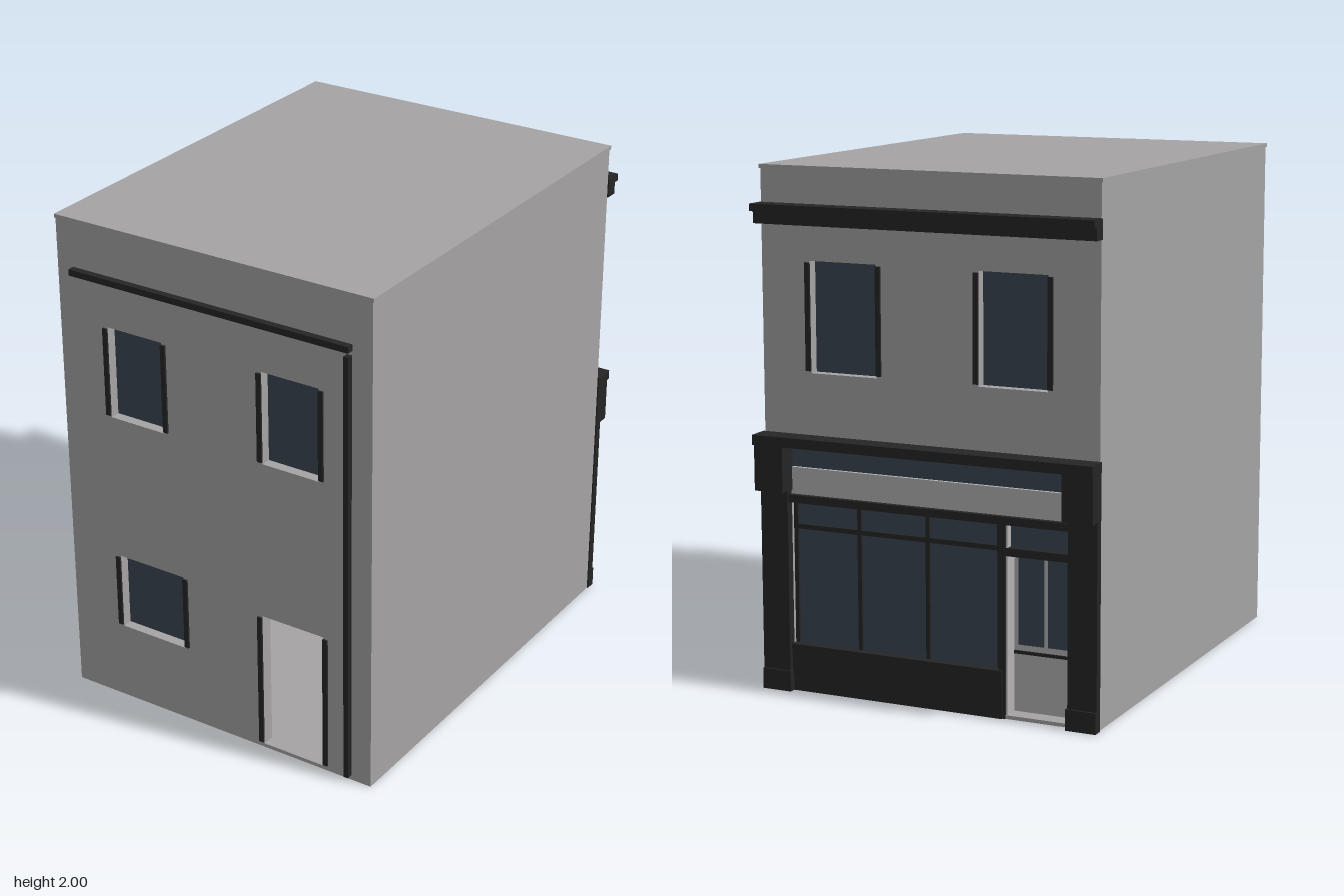
import * as THREE from 'three';

const mat = (name, color) => Object.assign(new THREE.MeshStandardMaterial({ color }), { name });

export function createModel() {
  const wall = mat('grey render', 0xa5a3a3);
  const black = mat('black paint', 0x252525);
  const glass = mat('dark glass', 0x394651);
  const light = mat('pale panel', 0xb4b2b2);
  const house = new THREE.Group();
  house.name = 'shopHouse';

  // Box given by its limits on each axis
  function box(name, m, x0, x1, y0, y1, z0, z1) {
    const mesh = new THREE.Mesh(new THREE.BoxGeometry(x1 - x0, y1 - y0, z1 - z0), m);
    mesh.position.set((x0 + x1) / 2, (y0 + y1) / 2, (z0 + z1) / 2);
    mesh.name = name;
    house.add(mesh);
    return mesh;
  }

  // Wall slab pierced by rectangular openings [x0, x1, y0, y1]
  function piercedWall(name, openings, z0, z1) {
    const rect = (P, x0, x1, y0, y1) => new P([[x0, y0], [x1, y0], [x1, y1], [x0, y1]].map(p => new THREE.Vector2(...p)));
    const shape = rect(THREE.Shape, -0.685, 0.685, 0, 1.985);
    shape.holes = openings.map(o => rect(THREE.Path, ...o));
    const geo = new THREE.ExtrudeGeometry(shape, { depth: z1 - z0, bevelEnabled: false });
    geo.translate(0, 0, z0);
    const mesh = new THREE.Mesh(geo, wall);
    mesh.name = name;
    house.add(mesh);
  }

  const FRONT = 0.885, BACK = -0.83, T = 0.05;

  // Hollow shell
  const frontWindows = [[-0.467, -0.223, 1.23, 1.6], [0.218, 0.462, 1.23, 1.6], [-0.455, -0.158, 0.32, 0.635]];
  const frontDoor = [0.205, 0.476, 0.015, 0.585];
  const backWindows = [[-0.482, -0.208, 1.23, 1.65], [0.208, 0.482, 1.23, 1.65]];
  piercedWall('frontWall', [...frontWindows, frontDoor], FRONT - T, FRONT);
  piercedWall('backWall', [...backWindows, [-0.58, 0.575, 0.012, 0.955]], BACK, BACK + T);
  for (const s of [-1, 1]) {
    const a = s * 0.685, b = s * 0.655;
    box('sideWall', wall, Math.min(a, b), Math.max(a, b), 0, 1.985, BACK + T, FRONT - T);
  }
  box('floor', wall, -0.655, 0.655, 0, 0.012, BACK + T, FRONT - T);
  box('roof', wall, -0.69, 0.69, 1.985, 2, BACK - 0.004, FRONT + 0.002);

  // Window panes and the slim trims beside each opening
  function trims(o, face, dir) {
    for (const [a, b] of [[o[0] - 0.02, o[0]], [o[1], o[1] + 0.02]]) {
      const z = face + dir * 0.008;
      box('sideTrim', black, a, b, o[2] + 0.008, o[3] - 0.006, Math.min(face, z), Math.max(face, z));
    }
  }
  for (const o of frontWindows) {
    box('frontPane', glass, ...o, FRONT - 0.048, FRONT - 0.04);
    trims(o, FRONT, 1);
  }
  for (const o of backWindows) {
    box('backPane', glass, ...o, BACK + 0.04, BACK + 0.048);
    trims(o, BACK, -1);
  }
  trims(frontDoor, FRONT, 1);

  // Gutter and downpipe
  box('gutter', black, -0.61, 0.605, 1.785, 1.81, 0.89, 0.918);
  box('downpipe', black, 0.58, 0.6, 0.02, 1.765, FRONT, 0.91);

  // Upper cornice, stepped
  box('corniceLower', black, -0.69, 0.69, 1.785, 1.832, -0.882, BACK);
  box('corniceUpper', black, -0.69, 0.69, 1.832, 1.86, -0.907, BACK);

  // Shopfront pilasters with plinths and corbels, under a full-width cap
  for (const s of [-1, 1]) {
    const span = (w) => (s < 0 ? [-0.69, -0.69 + w] : [0.69 - w, 0.69]);
    box('pilaster', black, ...span(0.115), 0, 0.785, -0.863, BACK);
    box('plinth', black, ...span(0.12), 0, 0.08, -0.872, BACK);
    box('corbel', black, ...span(0.12), 0.78, 0.957, -0.907, BACK);
  }
  box('shopCap', black, -0.692, 0.692, 0.957, 0.995, -0.918, BACK);

  // Fascia: glazed strip over a pale board
  box('fasciaGlass', glass, -0.58, 0.575, 0.868, 0.957, BACK + 0.01, BACK + 0.018);
  box('fasciaBoard', light, -0.58, 0.575, 0.765, 0.868, BACK - 0.004, BACK + 0.018);
  box('fasciaRail', black, -0.58, 0.575, 0.735, 0.765, BACK - 0.025, BACK + 0.02);

  // Display window: stall riser, glass, mullions and rails
  box('stallRiser', black, -0.305, 0.575, 0, 0.165, BACK - 0.015, BACK + 0.035);
  box('riserLining', light, -0.305, 0.575, 0.012, 0.165, BACK + 0.035, BACK + 0.043);
  box('displaySill', black, -0.305, 0.575, 0.165, 0.183, BACK - 0.018, BACK + 0.046);
  box('displayGlass', glass, -0.29, 0.575, 0.183, 0.735, BACK + 0.022, BACK + 0.03);
  for (const x of [0.566, 0.295, 0.01, -0.283])
    box('mullion', black, x - 0.008, x + 0.008, 0.183, 0.735, BACK + 0.012, BACK + 0.04);
  box('transomRail', black, -0.29, 0.575, 0.628, 0.646, BACK + 0.012, BACK + 0.04);

  // Recessed shop door with two tall panes and a light above
  box('doorPost', black, -0.315, -0.29, 0, 0.735, BACK - 0.008, BACK + 0.045);
  box('doorReveal', light, -0.322, -0.315, 0, 0.735, BACK, BACK + 0.08);
  box('doorTransom', black, -0.58, -0.315, 0.615, 0.645, BACK - 0.005, BACK + 0.05);
  box('doorLight', glass, -0.58, -0.315, 0.645, 0.735, BACK + 0.03, BACK + 0.038);
  box('shopDoor', light, -0.58, -0.322, 0.012, 0.62, BACK + 0.06, BACK + 0.08);
  for (const [a, b] of [[-0.56, -0.458], [-0.442, -0.34]])
    box('doorPane', glass, a, b, 0.27, 0.6, BACK + 0.055, BACK + 0.084);
  box('doorRail', black, -0.58, -0.322, 0.235, 0.247, BACK + 0.054, BACK + 0.06);
  box('doorstep', wall, -0.58, -0.315, 0, 0.014, BACK - 0.005, BACK + 0.08);

  return house;
}
